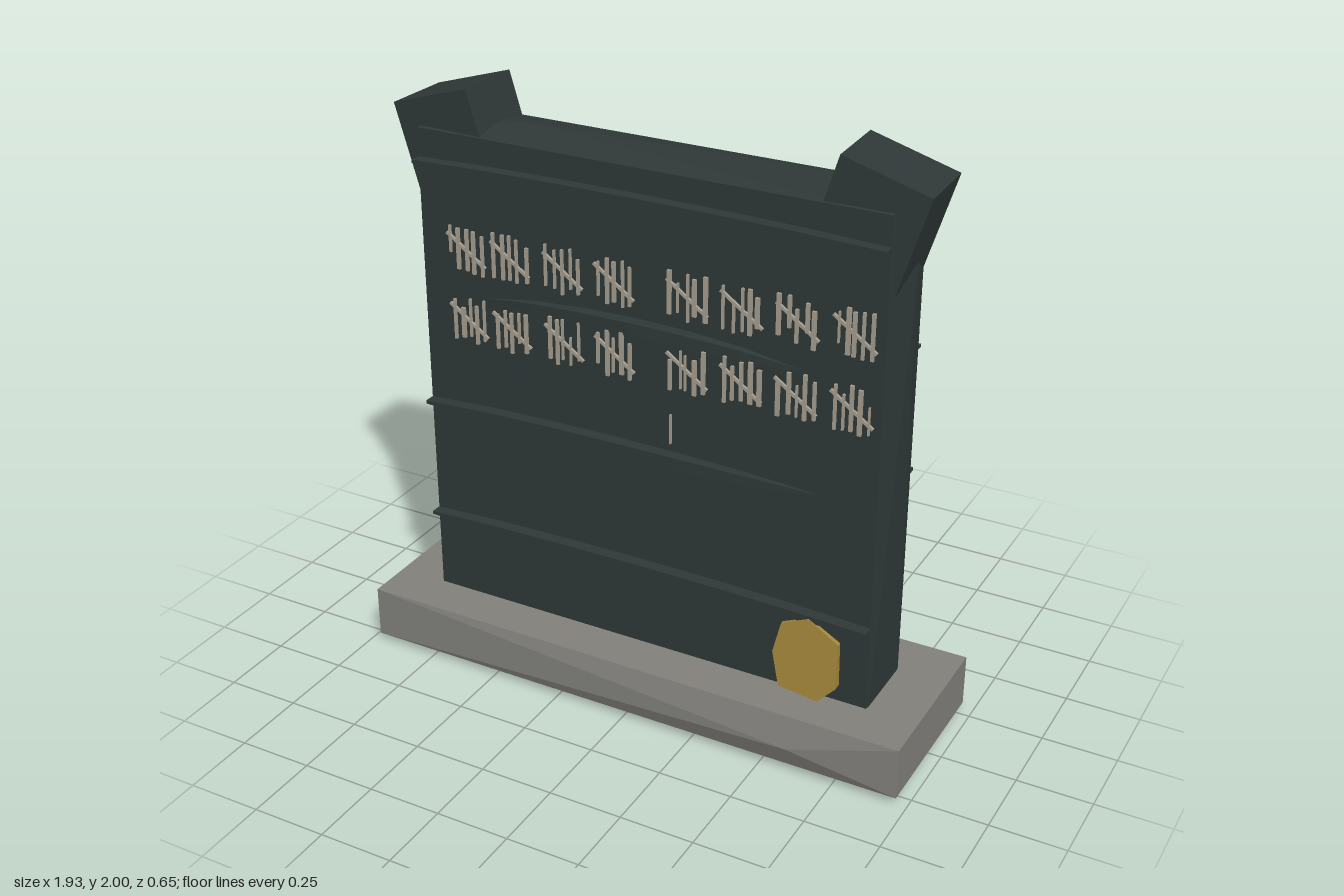
import * as THREE from 'three';

const mat = (name, color) => {
  const m = new THREE.MeshStandardMaterial({ color });
  m.name = name;
  return m;
};

// Flat facets: split the corners and recompute normals
function facet(geo) {
  const g = geo.index ? geo.toNonIndexed() : geo;
  g.computeVertexNormals();
  return g;
}

// Rough-hewn box: every side is a fan of four triangles around a movable peak
function hewnBox([x0, y0, z0], [x1, y1, z1], peaks = {}) {
  const X = [x0, x1], Y = [y0, y1], Z = [z0, z1];
  const c = (i, j, k) => [X[i], Y[j], Z[k]];
  const sides = {
    front: [c(0, 0, 1), c(1, 0, 1), c(1, 1, 1), c(0, 1, 1)],
    back: [c(1, 0, 0), c(0, 0, 0), c(0, 1, 0), c(1, 1, 0)],
    left: [c(1, 0, 1), c(1, 0, 0), c(1, 1, 0), c(1, 1, 1)],
    right: [c(0, 0, 0), c(0, 0, 1), c(0, 1, 1), c(0, 1, 0)],
    top: [c(0, 1, 1), c(1, 1, 1), c(1, 1, 0), c(0, 1, 0)],
    bottom: [c(0, 0, 0), c(1, 0, 0), c(1, 0, 1), c(0, 0, 1)],
  };
  const pos = [];
  for (const [name, q] of Object.entries(sides)) {
    const mid = [0, 1, 2].map((a) => (q[0][a] + q[2][a]) / 2);
    const peak = peaks[name] || mid;
    for (let i = 0; i < 4; i++) pos.push(...q[i], ...q[(i + 1) % 4], ...peak);
  }
  const g = new THREE.BufferGeometry();
  g.setAttribute('position', new THREE.Float32BufferAttribute(pos, 3));
  return facet(g);
}

// Long splinter ridge, lens-shaped from the front; open ends sink into the slab
function ridgeGeometry(x0, x1, y, h, zIn, zOut, arch, endDepth0, endDepth1) {
  const g = new THREE.BoxGeometry(1, 1, 1, 6, 1, 1);
  const p = g.attributes.position;
  const dir = Math.sign(zOut - zIn);
  for (let i = 0; i < p.count; i++) {
    const t = p.getX(i) + 0.5;
    const lens = Math.pow(Math.sin(Math.PI * t), 0.7) || 0;
    const height = h * (0.25 + 0.75 * lens);
    const end = t < 0.5 ? endDepth0 : endDepth1;
    const depth = end + (1 - end) * lens;
    const outer = p.getZ(i) * dir > 0;
    p.setXYZ(i, x0 + (x1 - x0) * t,
      y + p.getY(i) * height + arch * (lens - 0.5),
      outer ? zIn + (zOut - zIn) * depth : zIn - dir * 0.02);
  }
  return facet(g);
}

export function createModel() {
  const model = new THREE.Group();
  const slate = mat('dark slate', 0x2e3837);
  const stone = mat('grey stone', 0x807f7a);
  const brass = mat('aged brass', 0xa3863b);
  const chalk = mat('pale chalk', 0xa39b8c);

  const add = (name, geo, material, parent = model) => {
    const m = new THREE.Mesh(geo, material);
    m.name = name;
    parent.add(m);
    return m;
  };
  const group = (name) => {
    const g = new THREE.Group();
    g.name = name;
    model.add(g);
    return g;
  };

  // Plinth and slab
  add('plinth', hewnBox([-0.97, 0.025, -0.28], [0.965, 0.203, 0.295], {
    front: [0.6, 0.1, 0.325], back: [0, 0.12, -0.327],
  }), stone);
  add('slab', hewnBox([-0.8, 0.035, -0.12], [0.79, 1.85, 0.14], {
    top: [-0.5, 1.873, 0], left: [0.818, 1.6, 0], bottom: [-0.5, 0, 0],
  }), slate);

  // Tilted horns on the upper corners
  for (const s of [-1, 1]) {
    const horn = add(s > 0 ? 'leftHorn' : 'rightHorn',
      facet(new THREE.BoxGeometry(0.29, 0.32, 0.235)), slate);
    horn.position.set(s * 0.706, 1.8, 0.01);
    horn.rotation.set(0, s * 0.04, -s * 0.3);
  }

  // Ridges: x0, x1, y, height, arch, depth at each end
  const ridges = group('ridges');
  const front = [
    [-0.8, 0.79, 1.75, 0.042, 0, 0.9, 0.9],
    [-0.57, 0.52, 1.33, 0.045, 0.03, 0, 0],
    [-0.8, 0.58, 0.917, 0.046, 0.005, 0.9, 0.1],
    [-0.8, 0.79, 0.497, 0.042, 0.003, 0.9, 0.9],
  ];
  const back = [
    [-0.59, 0.5, 1.75, 0.042, -0.02, 0, 0],
    [-0.48, 0.785, 1.335, 0.04, 0, 0, 0.9],
    [-0.57, 0.785, 0.915, 0.042, 0, 0, 0.9],
    [-0.39, 0.61, 0.5, 0.04, -0.02, 0, 0],
  ];
  for (const [x0, x1, y, h, arch, a, b] of front)
    add('frontRidge', ridgeGeometry(x0, x1, y, h, 0.14, 0.182, arch, a, b), slate, ridges);
  for (const [x0, x1, y, h, arch, a, b] of back)
    add('backRidge', ridgeGeometry(x0, x1, y, h, -0.12, -0.16, arch, a, b), slate, ridges);

  // Tally marks: two rows of eight scratched bundles
  let seed = 7;
  const rand = () => (seed = (seed * 16807) % 2147483647) / 2147483647;
  const tallies = group('tallyMarks');
  const scratch = (x, y, w, h, turn) => {
    const m = add('tallyStroke', facet(new THREE.BoxGeometry(w, h, 0.009)), chalk, tallies);
    m.position.set(x, y, 0.18);
    m.rotation.z = turn;
  };
  for (const y of [1.49, 1.25]) {
    for (const x of [-0.61, -0.45, -0.26, -0.08, 0.17, 0.35, 0.53, 0.71]) {
      for (let i = 0; i < 5; i++) {
        const h = 0.09 + 0.065 * rand();
        const shift = (rand() - 0.5) * (0.16 - h);
        scratch(x - 0.055 + i * 0.028 + (rand() - 0.5) * 0.012, y + shift,
          0.005 + 0.009 * rand(), h, 0);
      }
      scratch(x, y, 0.009, 0.17, 0.95);
    }
  }
  scratch(0.115, 1.04, 0.005, 0.1, 0);

  // Brass plate, thicker toward its lower edge
  const outline = [[0.6, 0.5], [0.51, 0.46], [0.487, 0.355], [0.515, 0.24],
    [0.65, 0.225], [0.708, 0.285], [0.706, 0.44]].map(([x, y]) => new THREE.Vector2(x, y));
  const plate = new THREE.ExtrudeGeometry(new THREE.Shape(outline), { depth: 1, bevelEnabled: false });
  const p = plate.attributes.position;
  for (let i = 0; i < p.count; i++) {
    const drop = 0.5 - p.getY(i);
    p.setZ(i, p.getZ(i) > 0.5 ? 0.182 + drop * 0.09 : 0.172);
  }
  add('brassPlate', facet(plate), brass);

  return model;
}
